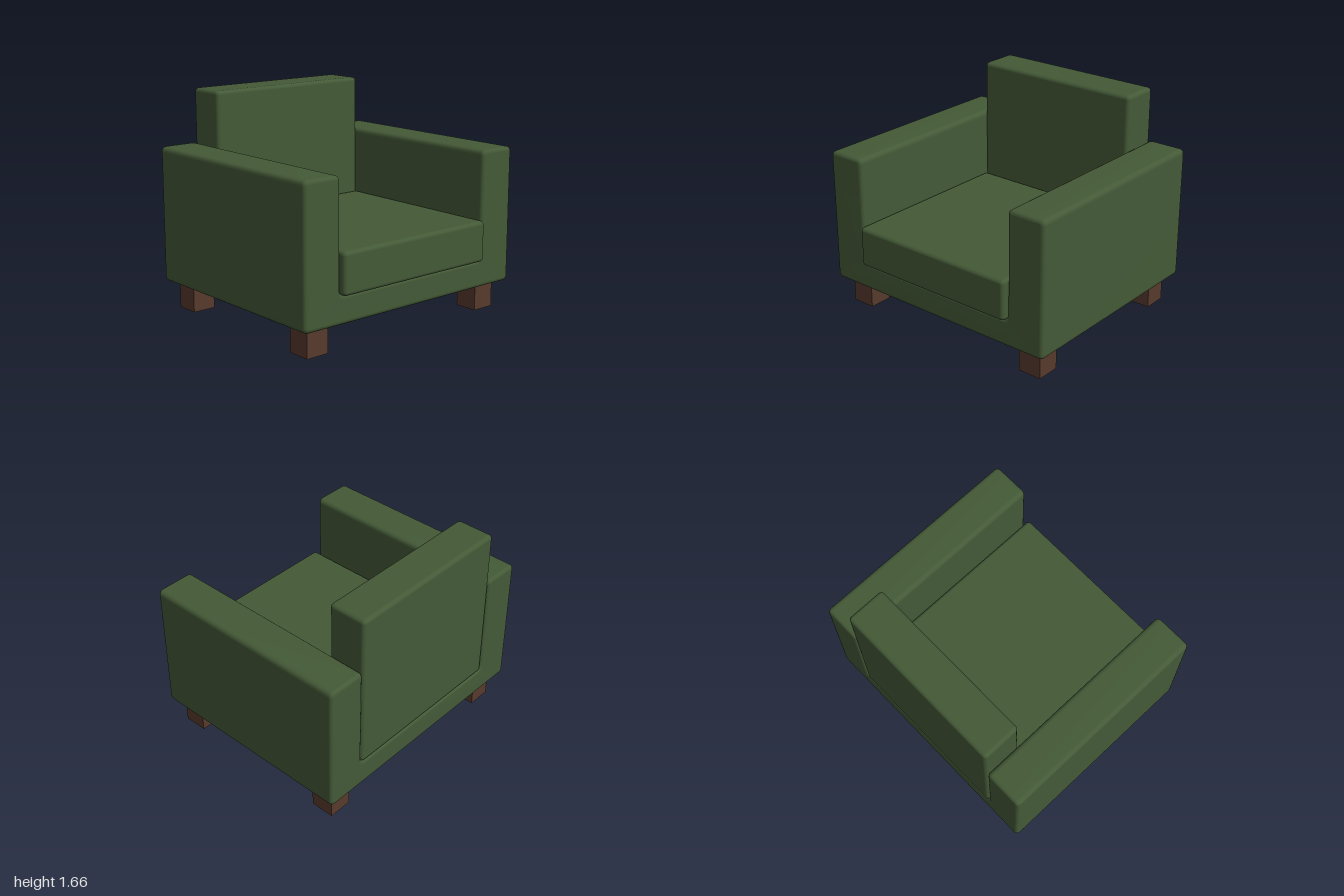
import * as THREE from 'three';
import { mergeVertices } from 'three/addons/utils/BufferGeometryUtils.js';
import { RoundedBoxGeometry } from 'three/addons/geometries/RoundedBoxGeometry.js';

const fabric = new THREE.MeshStandardMaterial({ color: 0x445a37 });
const wood = new THREE.MeshStandardMaterial({ color: 0x583a2d });

// Closed outline with every corner rounded by r
function roundedOutline(corners, r) {
  const pts = corners.map(([x, y]) => new THREE.Vector2(x, y));
  const shape = new THREE.Shape();
  const toward = (a, b) => b.clone().sub(a).setLength(r).add(a);
  pts.forEach((p, i) => {
    const before = toward(p, pts[(i + pts.length - 1) % pts.length]);
    const after = toward(p, pts[(i + 1) % pts.length]);
    if (i === 0) shape.moveTo(before.x, before.y);
    else shape.lineTo(before.x, before.y);
    shape.quadraticCurveTo(p.x, p.y, after.x, after.y);
  });
  shape.closePath();
  return shape;
}

// Box given by its lowest and highest corners, rounded when r > 0
function block(name, min, max, r, material) {
  const size = max.map((v, i) => v - min[i]);
  const geometry = r > 0 ? new RoundedBoxGeometry(...size, 4, r) : new THREE.BoxGeometry(...size);
  const mesh = new THREE.Mesh(geometry, material);
  mesh.position.set(...max.map((v, i) => (v + min[i]) / 2));
  mesh.name = name;
  return mesh;
}

export function createModel() {
  const chair = new THREE.Group();
  chair.name = 'armchair';

  // U-shaped body: both arms and the base in one soft-edged piece
  const bevel = 0.028, back = -0.87, front = 0.83;
  const outline = roundedOutline([
    [-1, 0.21], [1, 0.21], [1, 1.25], [0.69, 1.25],
    [0.69, 0.42], [-0.69, 0.42], [-0.69, 1.25], [-1, 1.25],
  ], 0.042);
  let body = new THREE.ExtrudeGeometry(outline, {
    depth: front - back - 2 * bevel, curveSegments: 5,
    bevelThickness: bevel, bevelSize: bevel, bevelOffset: -bevel, bevelSegments: 4,
  });
  body.translate(0, 0, back + bevel);
  body.deleteAttribute('normal');
  body.deleteAttribute('uv');
  body = mergeVertices(body);
  body.computeVertexNormals();
  const frame = new THREE.Mesh(body, fabric);
  frame.name = 'armsAndBase';
  chair.add(frame);

  // Cushions
  chair.add(block('seatCushion', [-0.687, 0.418, -0.567], [0.687, 0.73, 0.87], 0.03, fabric));
  chair.add(block('backCushion', [-0.687, 0.418, -0.872], [0.687, 1.665, -0.565], 0.03, fabric));

  // Four square legs
  for (const [side, x] of [['left', 0.73], ['right', -0.915]]) {
    for (const [end, z] of [['Front', 0.56], ['Back', -0.79]]) {
      chair.add(block(`${side}${end}Leg`, [x, 0, z], [x + 0.185, 0.22, z + 0.185], 0, wood));
    }
  }
  return chair;
}
